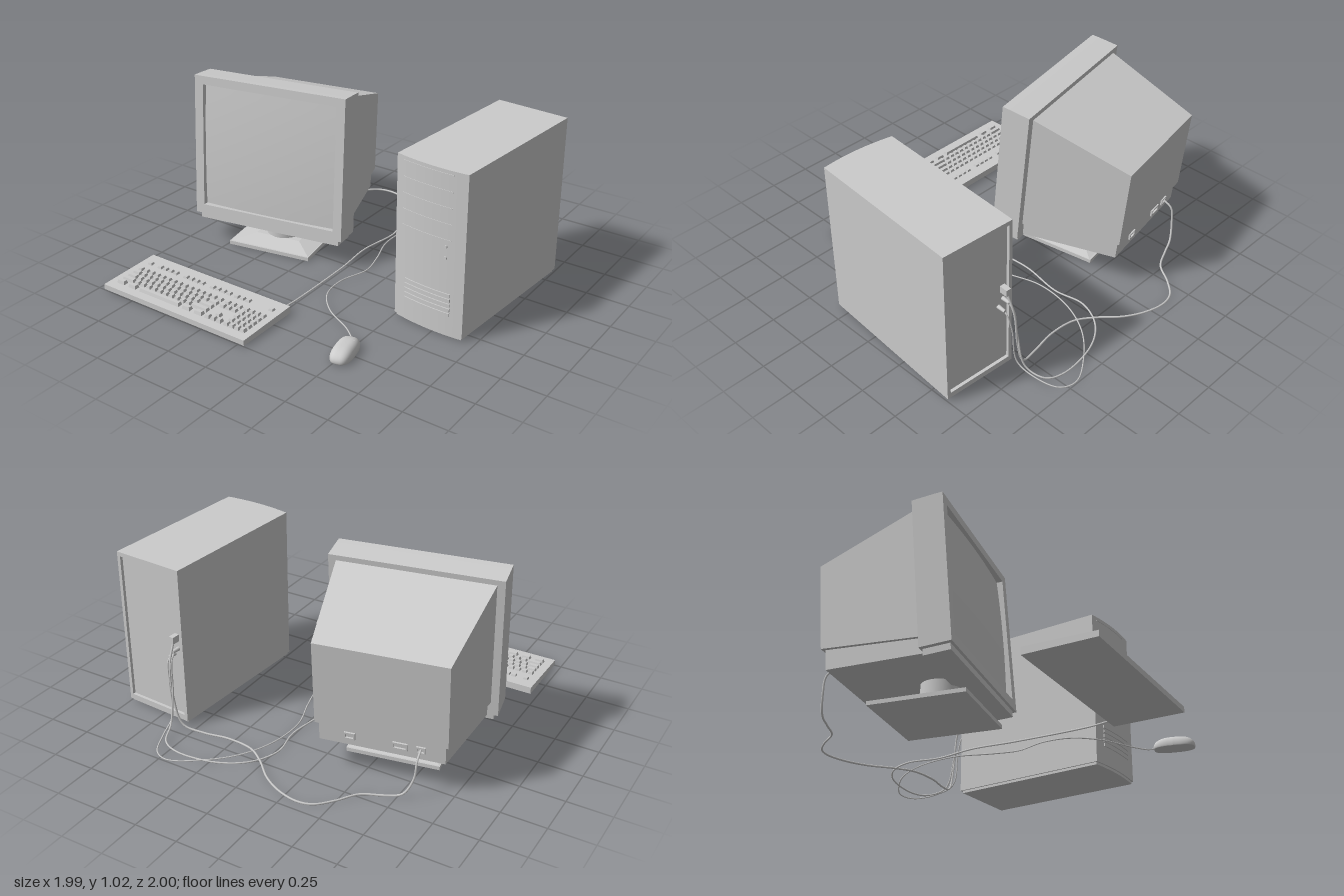
import * as THREE from 'three';
import { mergeGeometries, toCreasedNormals } from 'three/addons/utils/BufferGeometryUtils.js';

const grey = new THREE.MeshStandardMaterial({ color: 0xcccccc });

function add(parent, name, geometry, x = 0, y = 0, z = 0) {
  const mesh = new THREE.Mesh(geometry, grey);
  mesh.name = name;
  mesh.position.set(x, y, z);
  parent.add(mesh);
}

const box = (w, h, d, x = 0, y = 0, z = 0) => new THREE.BoxGeometry(w, h, d).translate(x, y, z);

// Six-sided block between a front and a back rectangle: [halfWidth, bottom, top, z]
function loft(front, back) {
  const g = new THREE.BoxGeometry(2, 1, 1);
  const p = g.attributes.position;
  for (let i = 0; i < p.count; i++) {
    const [w, bottom, top, z] = p.getZ(i) > 0 ? front : back;
    p.setXYZ(i, p.getX(i) * w, p.getY(i) > 0 ? top : bottom, z);
  }
  g.computeVertexNormals();
  return g;
}

// Rectangular frame: outer and inner are [left, right, bottom, top]
function frame(outer, inner, depth) {
  const loop = ([l, r, b, t]) => [[l, b], [r, b], [r, t], [l, t]].map(([x, y]) => new THREE.Vector2(x, y));
  const shape = new THREE.Shape(loop(outer));
  shape.holes.push(new THREE.Path(loop(inner)));
  return new THREE.ExtrudeGeometry(shape, { depth, bevelEnabled: false });
}

// Tower front curve, and a slab extruded upwards behind it
const HALF_W = 0.215, HALF_D = 0.473;
const frontZ = x => HALF_D + 0.018 * (1 - (x / HALF_W) ** 2);
function curvedSlab(x0, x1, back, out, y, height) {
  const points = [];
  for (let i = 0; i <= 12; i++) {
    const x = x0 + (x1 - x0) * i / 12;
    points.push(new THREE.Vector2(x, -frontZ(x) - out));
  }
  points.push(new THREE.Vector2(x1, -back), new THREE.Vector2(x0, -back));
  const g = new THREE.ExtrudeGeometry(new THREE.Shape(points), { depth: height, bevelEnabled: false });
  return toCreasedNormals(g.rotateX(-Math.PI / 2).translate(0, y, 0), 0.4);
}

function cable(parent, name, radius, points) {
  const curve = new THREE.CatmullRomCurve3(points.map(p => new THREE.Vector3(...p)), false, 'centripetal');
  add(parent, name, new THREE.TubeGeometry(curve, 120, radius, 6));
}

function makeMonitor() {
  const monitor = new THREE.Group();
  monitor.name = 'monitor';
  monitor.position.set(-0.525, 0, -0.085);
  monitor.rotation.y = 0.18;

  // Head leans back about the rear top edge of its bezel
  const head = new THREE.Group();
  head.name = 'monitorHead';
  head.position.y = 1.005;
  head.rotation.x = -0.08;
  monitor.add(head);

  add(head, 'bezelBody', loft([0.475, -0.845, 0, 0.125], [0.475, -0.845, -0.005, 0]));
  add(head, 'bezelFrame', frame([-0.475, 0.475, -0.845, 0], [-0.422, 0.422, -0.79, -0.05], 0.045), 0, 0, 0.125);
  add(head, 'bezelLip', loft([0.45, -0.88, -0.845, 0.155], [0.45, -0.88, -0.845, 0.01]));

  // Gently bulging glass
  const glass = new THREE.PlaneGeometry(0.844, 0.74, 16, 16);
  const p = glass.attributes.position;
  for (let i = 0; i < p.count; i++) {
    const u = p.getX(i) / 0.422, v = p.getY(i) / 0.37;
    p.setZ(i, 0.014 * (1 - u * u) + 0.01 * (1 - v * v));
  }
  glass.computeVertexNormals();
  add(head, 'screen', glass, 0, -0.42, 0.135);

  add(head, 'rearShell', loft([0.432, -0.765, -0.035, 0], [0.355, -0.66, -0.175, -0.578]));
  add(head, 'lowerChassis', loft([0.415, -0.85, -0.74, 0], [0.338, -0.775, -0.64, -0.56]));
  for (const [x, w] of [[-0.21, 0.05], [-0.1, 0.08], [0.17, 0.06]])
    add(head, 'rearSocket', frame([-w / 2, w / 2, -0.02, 0.02], [-w / 2 + 0.008, w / 2 - 0.008, -0.012, 0.012], 0.012), x, -0.715, -0.57);

  // Swivel stand
  add(monitor, 'neck', new THREE.CylinderGeometry(0.115, 0.115, 0.15, 32), 0, 0.115, 0);
  add(monitor, 'foot', box(0.52, 0.022, 0.53, 0, 0.011, -0.035));
  const slope = new THREE.CylinderGeometry(0.2, 0.36, 0.024, 4, 1).rotateY(Math.PI / 4);
  add(monitor, 'footTop', toCreasedNormals(slope, 0.1), 0, 0.034, -0.035);
  return monitor;
}

function makeTower() {
  const tower = new THREE.Group();
  tower.name = 'tower';
  tower.position.set(0.75, 0, -0.162);
  tower.rotation.y = -0.073;

  add(tower, 'plinth', curvedSlab(-0.207, 0.207, -0.46, -0.008, 0.003, 0.02));
  add(tower, 'case', curvedSlab(-HALF_W, HALF_W, -HALF_D + 0.018, 0, 0.018, 0.927));
  add(tower, 'rearRim', frame([-HALF_W, HALF_W, 0.018, 0.945], [-0.195, 0.195, 0.05, 0.92], 0.018), 0, 0, -HALF_D);

  // Drive bay seams and lower vent ribs follow the curved front
  for (const y of [0.92, 0.83, 0.74, 0.65, 0.56])
    add(tower, 'baySeam', curvedSlab(-0.17, 0.135, 0.45, 0.003, y, 0.005));
  for (let i = 0; i < 5; i++)
    add(tower, 'ventRib', curvedSlab(-0.145, 0.14, 0.45, 0.006, 0.128 + i * 0.028, 0.018));
  for (const y of [0.525, 0.46])
    add(tower, 'button', new THREE.CylinderGeometry(0.009, 0.009, 0.014, 16).rotateX(Math.PI / 2), 0.105, y, frontZ(0.105));

  // Rear plugs
  add(tower, 'monitorPlug', box(0.03, 0.04, 0.05), -0.165, 0.53, -0.48);
  for (const [x, y] of [[-0.17, 0.46], [-0.14, 0.42]])
    add(tower, 'roundPlug', new THREE.CylinderGeometry(0.012, 0.009, 0.05, 12).rotateX(Math.PI / 2), x, y, -0.48);
  return tower;
}

function makeKeyboard() {
  const keyboard = new THREE.Group();
  keyboard.name = 'keyboard';
  add(keyboard, 'keyboardCase', loft([0.5, 0.005, 0.036, 1], [0.5, 0.005, 0.046, 0.61]), -0.46, 0, 0);

  // Keys with sloping sides
  const caps = [];
  const key = (x, z, w = 0.034) => {
    const g = new THREE.BoxGeometry(w, 0.022, 0.034);
    const p = g.attributes.position;
    for (let i = 0; i < p.count; i++) if (p.getY(i) > 0) {
      p.setX(i, p.getX(i) - Math.sign(p.getX(i)) * 0.006);
      p.setZ(i, p.getZ(i) * 0.65);
    }
    g.computeVertexNormals();
    caps.push(g.translate(x, 0.045, z));
  };
  const run = (x, z, count, pitch = 0.0395) => {
    for (let i = 0; i < count; i++) key(x + i * pitch, z);
  };
  const rowZ = i => 0.77 + i * 0.0405;

  // Separate groups along the back
  for (const [x, count] of [[-0.895, 1], [-0.82, 4], [-0.625, 4], [-0.43, 4], [-0.257, 3], [-0.018, 1]])
    run(x, 0.694, count);

  // Main block: each row has a wide first and last key
  const left = -0.915, right = -0.29, pitch = 0.0417;
  [[0.038, 13], [0.058, 12], [0.07, 11], [0.09, 10]].forEach(([first, count], r) => {
    const last = right - left - first - count * pitch;
    key(left + first / 2, rowZ(r), first - 0.006);
    run(left + first + pitch / 2, rowZ(r), count, pitch);
    key(right - last / 2, rowZ(r), last - 0.006);
  });
  for (const [x, w] of [[-0.885, 0.055], [-0.8, 0.055], [-0.6, 0.29], [-0.405, 0.055], [-0.32, 0.055]])
    key(x, rowZ(4), w);

  // Navigation, arrow and number keys
  for (const r of [0, 1, 4]) run(-0.257, rowZ(r), 3);
  key(-0.2175, rowZ(3));
  for (let r = 0; r < 5; r++) run(-0.128, rowZ(r), 4, 0.037);

  add(keyboard, 'keys', mergeGeometries(caps));
  return keyboard;
}

function makeMouse() {
  const mouse = new THREE.Group();
  mouse.name = 'mouse';
  mouse.position.set(0.503, 0.018, 0.76);
  mouse.rotation.y = 0.22;
  // Squared-off dome with a shallow flat underside
  const g = new THREE.SphereGeometry(1, 40, 28);
  const p = g.attributes.position;
  const square = v => Math.sign(v) * Math.abs(v) ** 0.7;
  for (let i = 0; i < p.count; i++) {
    const y = p.getY(i);
    p.setXYZ(i, square(p.getX(i)) * 0.06, y > 0 ? y * 0.05 : Math.max(y * 0.05, -0.012), square(p.getZ(i)) * 0.113);
  }
  g.computeVertexNormals();
  add(mouse, 'mouseBody', g);
  add(mouse, 'buttonSeam', box(0.07, 0.003, 0.004), 0, 0.043, -0.042);
  return mouse;
}

export function createModel() {
  const model = new THREE.Group();
  model.name = 'desktopComputer';
  model.add(makeMonitor(), makeTower(), makeKeyboard(), makeMouse());

  const g = 0.01; // cables resting on the desk
  cable(model, 'monitorCable', 0.006, [
    [-0.82, 0.26, -0.53], [-0.83, 0.22, -0.6], [-0.825, 0.12, -0.62], [-0.78, 0.03, -0.65], [-0.7, g, -0.68],
    [-0.58, g, -0.74], [-0.5, g, -0.85], [-0.42, g, -0.93], [-0.34, g, -0.95], [-0.22, g, -0.925], [-0.1, g, -0.86],
    [0.02, g, -0.75], [0.12, g, -0.685], [0.28, g, -0.667], [0.43, g, -0.69], [0.55, 0.04, -0.715],
    [0.6, 0.2, -0.72], [0.615, 0.4, -0.71], [0.62, 0.52, -0.66]]);
  cable(model, 'keyboardCable', 0.005, [
    [-0.01, 0.02, 0.62], [-0.01, g, 0.5], [-0.012, g, 0.05], [-0.03, g, -0.2], [0.005, g, -0.45], [-0.02, g, -0.63],
    [0.05, g, -0.78], [0.2, g, -0.88], [0.45, g, -0.91], [0.55, 0.02, -0.87], [0.59, 0.06, -0.77],
    [0.6, 0.25, -0.72], [0.61, 0.42, -0.7], [0.615, 0.46, -0.66]]);
  cable(model, 'mouseCable', 0.004, [
    [0.48, 0.02, 0.66], [0.46, g, 0.635], [0.38, g, 0.57], [0.2, g, 0.47], [0.09, g, 0.34], [0.07, g, 0.18],
    [0.12, g, 0], [0.09, g, -0.15], [0.03, g, -0.35], [0.05, g, -0.57], [0.14, g, -0.76], [0.28, g, -0.9],
    [0.45, g, -0.996], [0.54, g, -0.96], [0.59, 0.03, -0.84], [0.61, 0.08, -0.73], [0.63, 0.3, -0.71],
    [0.645, 0.4, -0.69], [0.645, 0.42, -0.66]]);
  return model;
}
